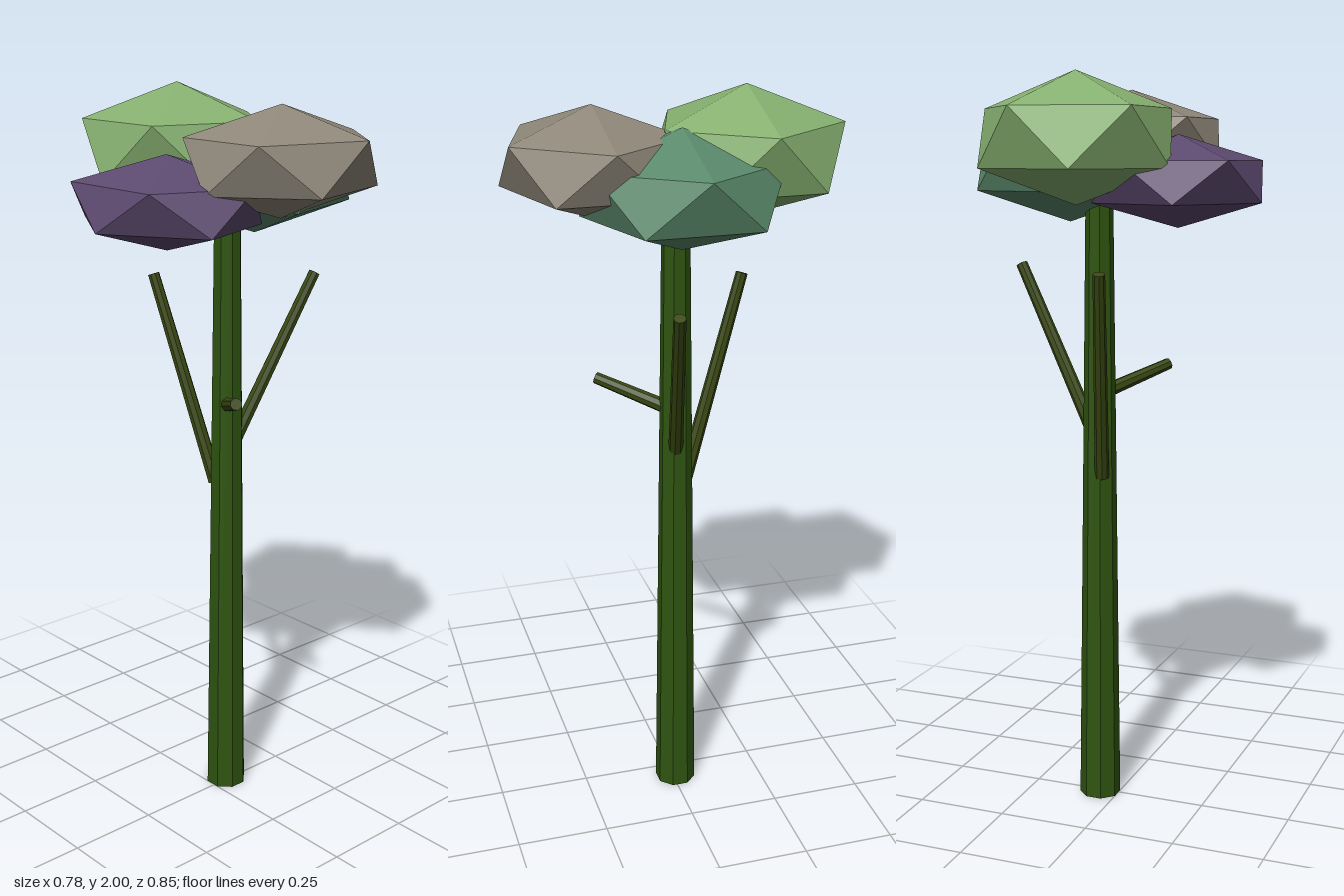
import * as THREE from 'three';

const V = (x, y, z) => new THREE.Vector3(x, y, z);

function part(name, geometry, color) {
  const material = new THREE.MeshStandardMaterial({ color, flatShading: true });
  const mesh = new THREE.Mesh(geometry, material);
  mesh.name = name;
  return mesh;
}

// Faceted clump: an icosahedron stood on one corner, with a corner of its upper ring towards +x
function clump(name, center, radii, color) {
  const geometry = new THREE.IcosahedronGeometry(1, 0);
  geometry.rotateX(-Math.atan((1 + Math.sqrt(5)) / 2));
  geometry.rotateY(Math.PI / 2);
  geometry.scale(...radii);
  geometry.translate(...center);
  geometry.computeVertexNormals();
  return part(name, geometry, color);
}

// Tapered straight limb between two points
function limb(name, from, to, r0, r1, sides, color) {
  const dir = to.clone().sub(from);
  const geometry = new THREE.CylinderGeometry(r1, r0, dir.length(), sides);
  geometry.rotateY(Math.PI / sides);
  const mesh = part(name, geometry, color);
  mesh.position.copy(from).add(to).multiplyScalar(0.5);
  mesh.quaternion.setFromUnitVectors(V(0, 1, 0), dir.normalize());
  return mesh;
}

export function createModel() {
  const tree = new THREE.Group();
  tree.name = 'tree';

  // Trunk, flat side to the front
  tree.add(limb('trunk', V(0.053, 0, -0.008), V(0.052, 1.76, -0.007), 0.057, 0.036, 8, 0x2f5410));

  // Bare branches
  const branches = [
    ['leftBranch', V(0.06, 1.02, -0.005), V(0.312, 1.495, 0.06)],
    ['backBranch', V(0.035, 0.93, -0.035), V(-0.03, 1.495, -0.215)],
    ['frontBranch', V(0.05, 1.155, -0.005), V(-0.082, 1.22, 0.177)],
  ];
  for (const [name, from, to] of branches) {
    tree.add(limb(name, from, to, 0.02, 0.016, 8, 0x3a4812));
  }

  // Crown of four overlapping clumps
  const crown = new THREE.Group();
  crown.name = 'crown';
  crown.add(
    clump('backClump', [0.04, 1.833, -0.194], [0.283, 0.167, 0.277], 0x86b070),
    clump('frontClump', [0.04, 1.827, 0.205], [0.284, 0.14, 0.259], 0x8f887a),
    clump('rightClump', [-0.165, 1.724, 0.006], [0.252, 0.12, 0.295], 0x5d4a70),
    clump('leftClump', [0.14, 1.767, 0.003], [0.28, 0.151, 0.285], 0x5a8a6c),
  );
  tree.add(crown);
  return tree;
}
